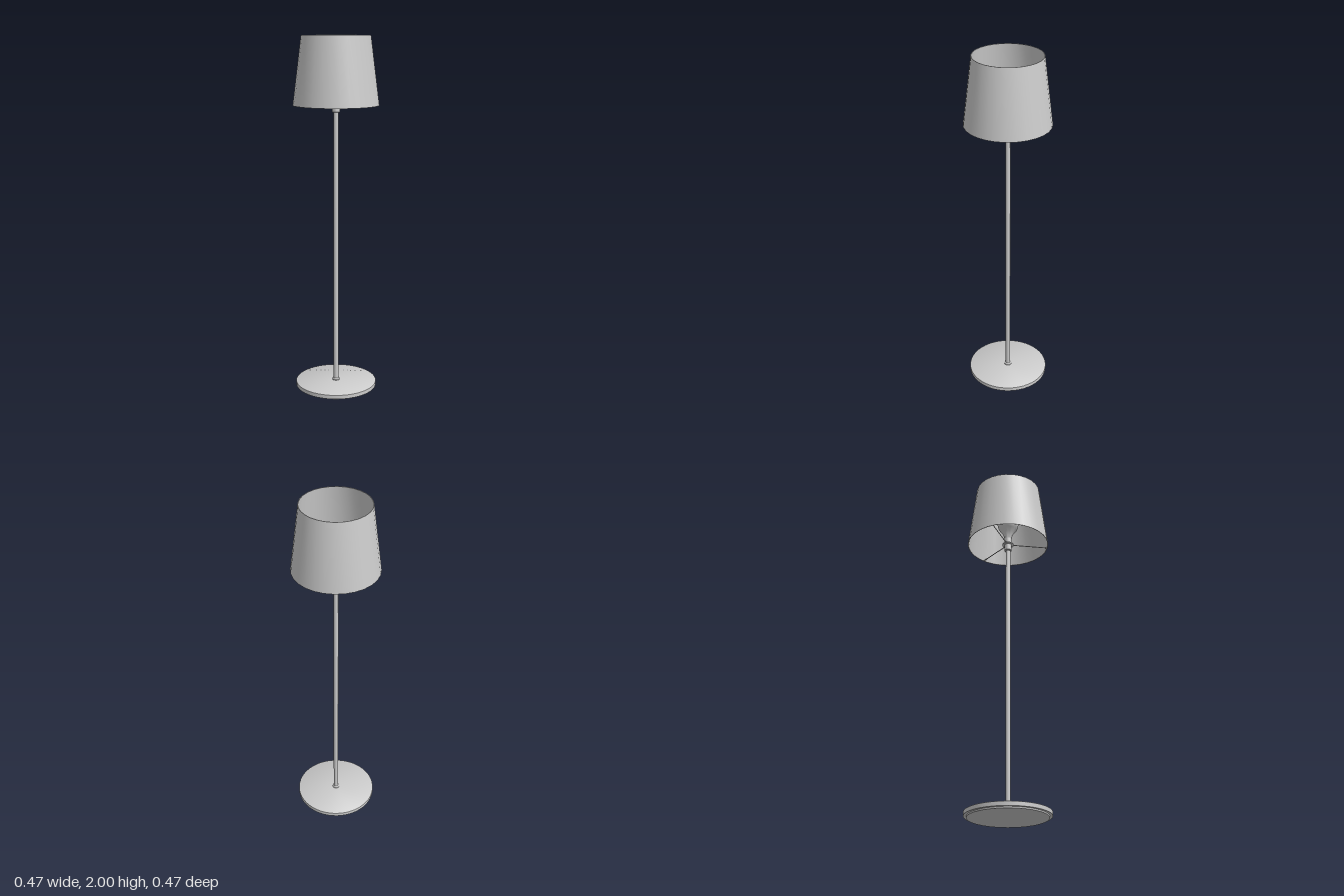
import * as THREE from 'three';
import { toCreasedNormals } from 'three/addons/utils/BufferGeometryUtils.js';

const grey = new THREE.MeshStandardMaterial({ color: 0xcccccc });
const greyThin = new THREE.MeshStandardMaterial({ color: 0xcccccc, side: THREE.DoubleSide });

export function createModel() {
  const lamp = new THREE.Group();
  lamp.name = 'floorLamp';

  const add = (name, geometry, material = grey) => {
    const mesh = new THREE.Mesh(geometry, material);
    mesh.name = name;
    lamp.add(mesh);
    return mesh;
  };
  // Turned part from [radius, height] pairs, listed bottom to top
  const turned = (name, points, sides, material) => {
    const profile = points.map(([r, y]) => new THREE.Vector2(r, y));
    return add(name, toCreasedNormals(new THREE.LatheGeometry(profile, sides), 0.6), material);
  };

  // Round base with a recessed foot pad, and the collar around the pole
  turned('base', [[0, 0.008], [0.231, 0.008], [0.231, 0.03], [0.228, 0.032], [0, 0.032]], 48);
  turned('footPad', [[0, 0], [0.215, 0], [0.215, 0.009]], 48);
  turned('poleCollar', [[0.021, 0.032], [0.021, 0.037], [0.014, 0.042]], 20);

  // Pole
  turned('pole', [[0.0135, 0.03], [0.0135, 1.59]], 16);

  // Socket with its flange
  turned('socket', [
    [0, 1.585], [0.018, 1.585], [0.021, 1.589], [0.021, 1.626], [0.034, 1.626],
    [0.034, 1.632], [0.021, 1.632], [0.021, 1.67], [0, 1.67],
  ], 20);

  // Switch knob on the side of the socket
  const knob = add('switchKnob', toCreasedNormals(new THREE.CylinderGeometry(0.007, 0.009, 0.012, 12), 0.6));
  knob.rotation.z = -Math.PI / 2;
  knob.position.set(0.022, 1.607, 0);

  // Bulb: flared neck running into a round head
  const bulb = [[0.02, 1.665], [0.024, 1.685], [0.034, 1.71]];
  const radius = 0.062, centre = 1.768;
  for (let i = 0; i <= 14; i++) {
    const a = THREE.MathUtils.lerp(-0.65, Math.PI / 2, i / 14);
    bulb.push([Math.max(0, radius * Math.cos(a)), centre + radius * Math.sin(a)]);
  }
  turned('bulb', bulb, 32);

  // Three thin spokes carrying the shade
  const inner = 0.03, outer = 0.234;
  for (let i = 0; i < 3; i++) {
    const spoke = new THREE.CylinderGeometry(0.0025, 0.0025, outer - inner, 8);
    spoke.rotateX(Math.PI / 2);
    spoke.translate(0, 1.629, (inner + outer) / 2);
    add('shadeSpoke', spoke).rotation.y = (i * Math.PI * 2) / 3;
  }

  // Tapered open shade with a thin wall
  turned('shade', [
    [0.234, 1.625], [0.237, 1.625], [0.189, 2], [0.186, 2], [0.234, 1.625],
  ], 28, greyThin);

  return lamp;
}
